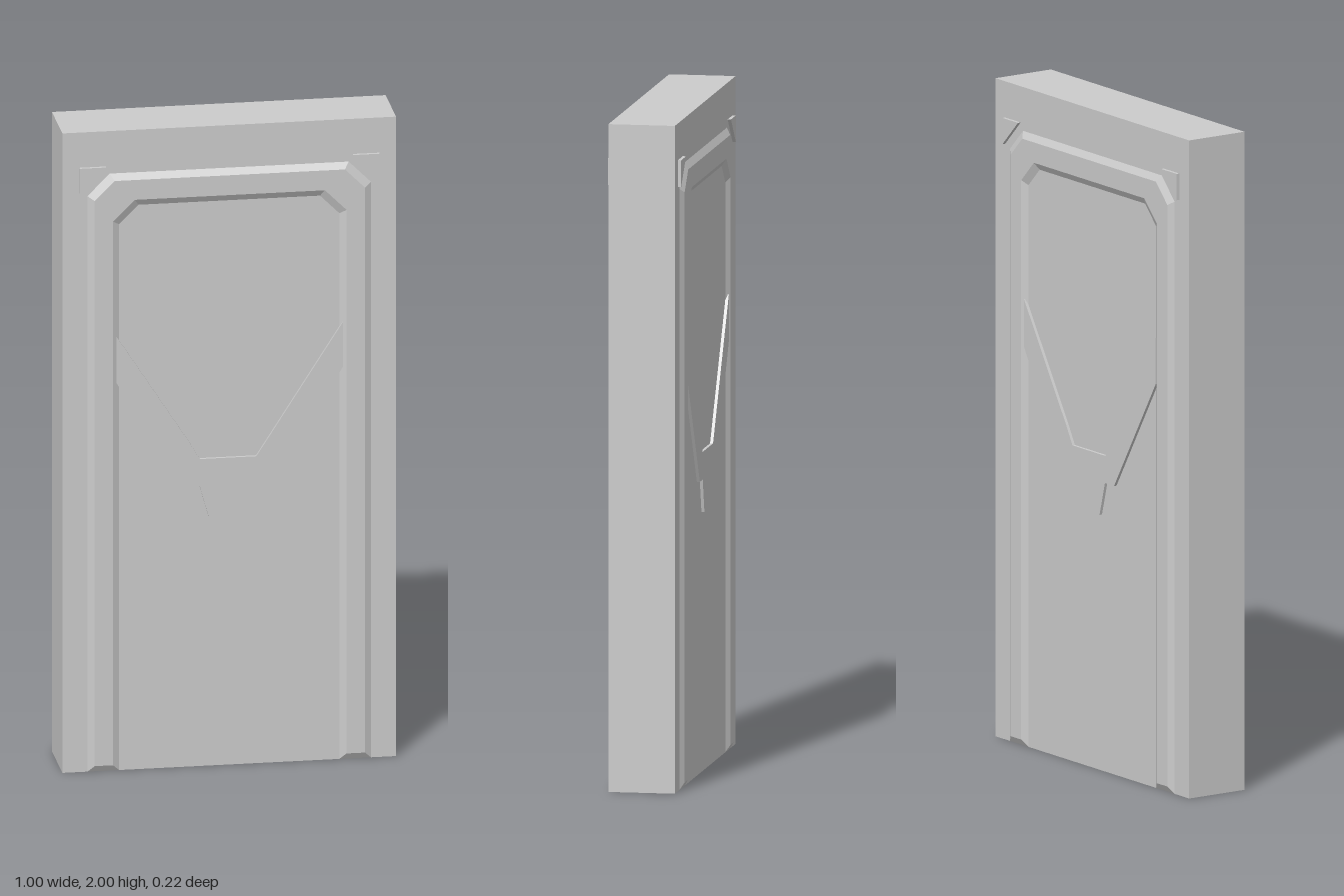
import * as THREE from 'three';

const FACE = 0.1; // front plane of the slab

// Arch-shaped path with chamfered upper corners, from left foot to right foot
function archPath(w, h, c, foot, z) {
  const half = [[w, foot], [w, h - c], [w - c, h]];
  const left = half.map(([x, y]) => new THREE.Vector3(-x, y, z));
  const right = half.map(([x, y]) => new THREE.Vector3(x, y, z)).reverse();
  return [...left, ...right];
}

// Raised bevelled moulding, lofted between four arch paths
function mouldingGeometry() {
  const top = FACE + 0.012;
  const paths = [
    archPath(0.425, 1.867, 0.067, 0, FACE),
    archPath(0.405, 1.847, 0.06, 0.02, top),
    archPath(0.35, 1.785, 0.065, 0.02, top),
    archPath(0.33, 1.765, 0.058, 0, FACE),
  ];
  const pos = [];
  const quad = (a, b, c, d) => [a, b, c, a, c, d].forEach((p) => pos.push(p.x, p.y, p.z));
  const last = paths[0].length - 1;
  for (let s = 0; s < last; s++) {
    for (let j = 0; j < 3; j++) {
      quad(paths[j][s], paths[j + 1][s], paths[j + 1][s + 1], paths[j][s + 1]);
    }
  }
  // sloped feet
  quad(paths[0][0], paths[3][0], paths[2][0], paths[1][0]);
  quad(paths[3][last], paths[0][last], paths[1][last], paths[2][last]);
  const geo = new THREE.BufferGeometry();
  geo.setAttribute('position', new THREE.Float32BufferAttribute(pos, 3));
  geo.computeVertexNormals();
  return geo;
}

// Flat plate standing proud of the slab
function plateGeometry(points, height) {
  const shape = new THREE.Shape(points.map(([x, y]) => new THREE.Vector2(x, y)));
  const geo = new THREE.ExtrudeGeometry(shape, { depth: height, bevelEnabled: false });
  return geo.translate(0, 0, FACE);
}

export function createModel() {
  const model = new THREE.Group();
  model.name = 'door';
  const material = new THREE.MeshStandardMaterial({ color: 0xcccccc, flatShading: true });
  const add = (parent, name, geo) => {
    const mesh = new THREE.Mesh(geo, material);
    mesh.name = name;
    parent.add(mesh);
  };

  const slab = new THREE.BoxGeometry(1, 2, 2 * FACE);
  slab.translate(0, 1, 0);
  add(model, 'slab', slab);

  const moulding = mouldingGeometry();

  // V-shaped band with a stepped tab at its lowest point
  const chevron = plateGeometry([
    [-0.34, 1.36], [-0.34, 1.215], [-0.138, 0.88], [-0.09, 0.88], [-0.062, 0.778],
    [0.05, 0.778], [0.078, 0.88], [0.125, 0.88], [0.34, 1.23], [0.34, 1.37],
    [0.123, 1.03], [0.08, 0.963], [-0.09, 0.963], [-0.123, 1.02],
  ], 0.009);

  const corner = (s) => plateGeometry([[s * 0.45, 1.89], [s * 0.37, 1.89], [s * 0.45, 1.81]], 0.01);

  // Same decoration on both faces, turned half round for the back
  for (const [name, turn] of [['frontFace', 0], ['backFace', Math.PI]]) {
    const face = new THREE.Group();
    face.name = name;
    face.rotation.y = turn;
    add(face, 'moulding', moulding);
    add(face, 'chevronBand', chevron);
    add(face, 'leftCornerTriangle', corner(1));
    add(face, 'rightCornerTriangle', corner(-1));
    model.add(face);
  }
  return model;
}
